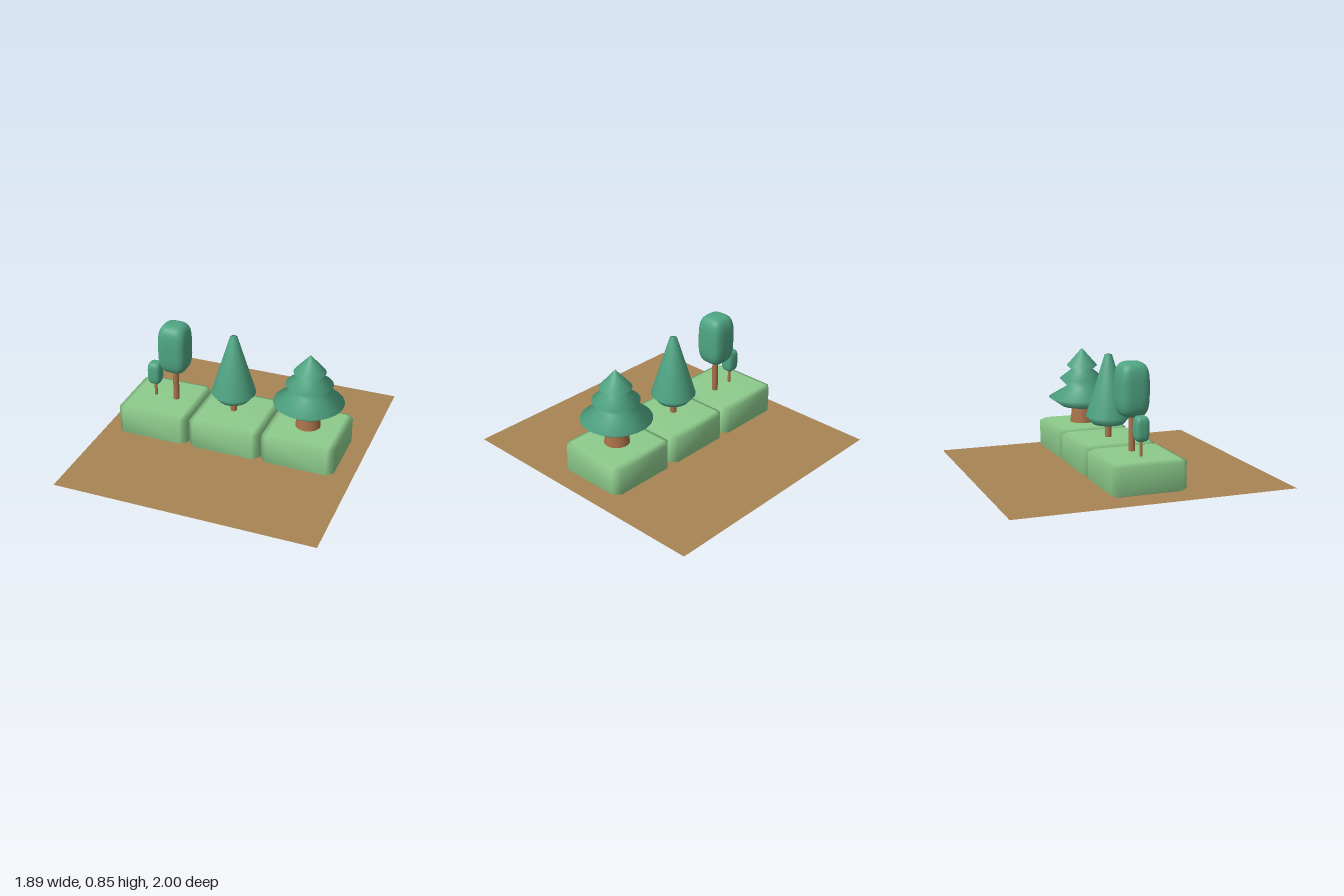
import * as THREE from 'three';
import { mergeVertices } from 'three/addons/utils/BufferGeometryUtils.js';
import { ConvexGeometry } from 'three/addons/geometries/ConvexGeometry.js';

const material = (color, side = THREE.FrontSide) => new THREE.MeshStandardMaterial({ color, side });
const leaf = material(0x4fa583);
const grass = material(0x8dcb8c);
const bark = material(0xa87148);
const earth = material(0xa88555, THREE.DoubleSide);
const Z = -0.004; // the row of planters sits on this line

function add(parent, name, geometry, mat, x, y, z = Z) {
  const mesh = new THREE.Mesh(geometry, mat);
  mesh.name = name;
  mesh.position.set(x, y, z);
  parent.add(mesh);
  return mesh;
}

// Share vertices so the shading runs smoothly over the edges
function smooth(geometry) {
  geometry.deleteAttribute('normal');
  geometry.deleteAttribute('uv');
  const merged = mergeVertices(geometry, 1e-5);
  merged.computeVertexNormals();
  return merged;
}

// Box with a single chamfer on every edge and corner
function chamferedBox(half, cut) {
  const points = [];
  for (const sx of [-1, 1]) for (const sy of [-1, 1]) for (const sz of [-1, 1]) {
    const sign = new THREE.Vector3(sx, sy, sz);
    for (let face = 0; face < 3; face++) {
      const p = half.clone().sub(cut);
      p.setComponent(face, half.getComponent(face));
      points.push(p.multiply(sign));
    }
  }
  return smooth(new ConvexGeometry(points));
}

// Soft rounded block: a divided cube pushed onto a superellipsoid
function softBlock(rx, ry, rz, power = 3.6) {
  const geometry = smooth(new THREE.BoxGeometry(2, 2, 2, 12, 12, 12));
  const pos = geometry.attributes.position;
  const v = new THREE.Vector3();
  for (let i = 0; i < pos.count; i++) {
    v.fromBufferAttribute(pos, i);
    const sum = Math.abs(v.x) ** power + Math.abs(v.y) ** power + Math.abs(v.z) ** power;
    v.multiplyScalar(sum ** (-1 / power));
    pos.setXYZ(i, v.x * rx, v.y * ry, v.z * rz);
  }
  geometry.computeVertexNormals();
  return geometry;
}

function trunk(parent, x, bottom, top, rBottom, rTop) {
  const geometry = new THREE.CylinderGeometry(rTop, rBottom, top - bottom, 32);
  add(parent, 'trunk', geometry, bark, x, (bottom + top) / 2);
}

// Turned crown from [radius, height] pairs, listed bottom to top
function turnedCrown(parent, x, profile) {
  const points = profile.map(([r, y]) => new THREE.Vector2(r, y));
  add(parent, 'crown', new THREE.LatheGeometry(points, 40), leaf, x, 0);
}

function tree(parent, name) {
  const group = new THREE.Group();
  group.name = name;
  parent.add(group);
  return group;
}

export function createModel() {
  const model = new THREE.Group();
  model.name = 'treeRow';

  // Ground sheet
  const ground = add(model, 'ground', new THREE.PlaneGeometry(1.89, 2), earth, 0, 0, 0);
  ground.rotation.x = -Math.PI / 2;

  // Three grassy blocks
  const block = chamferedBox(new THREE.Vector3(0.268, 0.112, 0.267), new THREE.Vector3(0.046, 0.018, 0.046));
  for (const x of [-0.547, 0.003, 0.55]) add(model, 'grassBlock', block, grass, x, 0.125);

  // Tall and small round trees
  const tall = tree(model, 'tallRoundTree');
  trunk(tall, -0.46, 0.22, 0.5, 0.022, 0.022);
  add(tall, 'crown', softBlock(0.109, 0.188, 0.108), leaf, -0.46, 0.662, -0.006);

  const small = tree(model, 'smallRoundTree');
  trunk(small, -0.623, 0.22, 0.36, 0.011, 0.011);
  add(small, 'crown', softBlock(0.05, 0.087, 0.05), leaf, -0.623, 0.424);

  // Cone tree
  const cone = tree(model, 'coneTree');
  trunk(cone, -0.01, 0.22, 0.35, 0.023, 0.023);
  turnedCrown(cone, -0.01, [[0, 0.335], [0.112, 0.335], [0.16, 0.392], [0.026, 0.83], [0, 0.83]]);

  // Tiered fir with a stout trunk
  const fir = tree(model, 'tieredTree');
  trunk(fir, 0.552, 0.22, 0.37, 0.092, 0.073);
  turnedCrown(fir, 0.552, [
    [0, 0.36], [0.152, 0.36], [0.25, 0.428],
    [0.112, 0.51], [0.167, 0.57],
    [0.08, 0.637], [0.114, 0.667], [0, 0.797],
  ]);

  return model;
}
